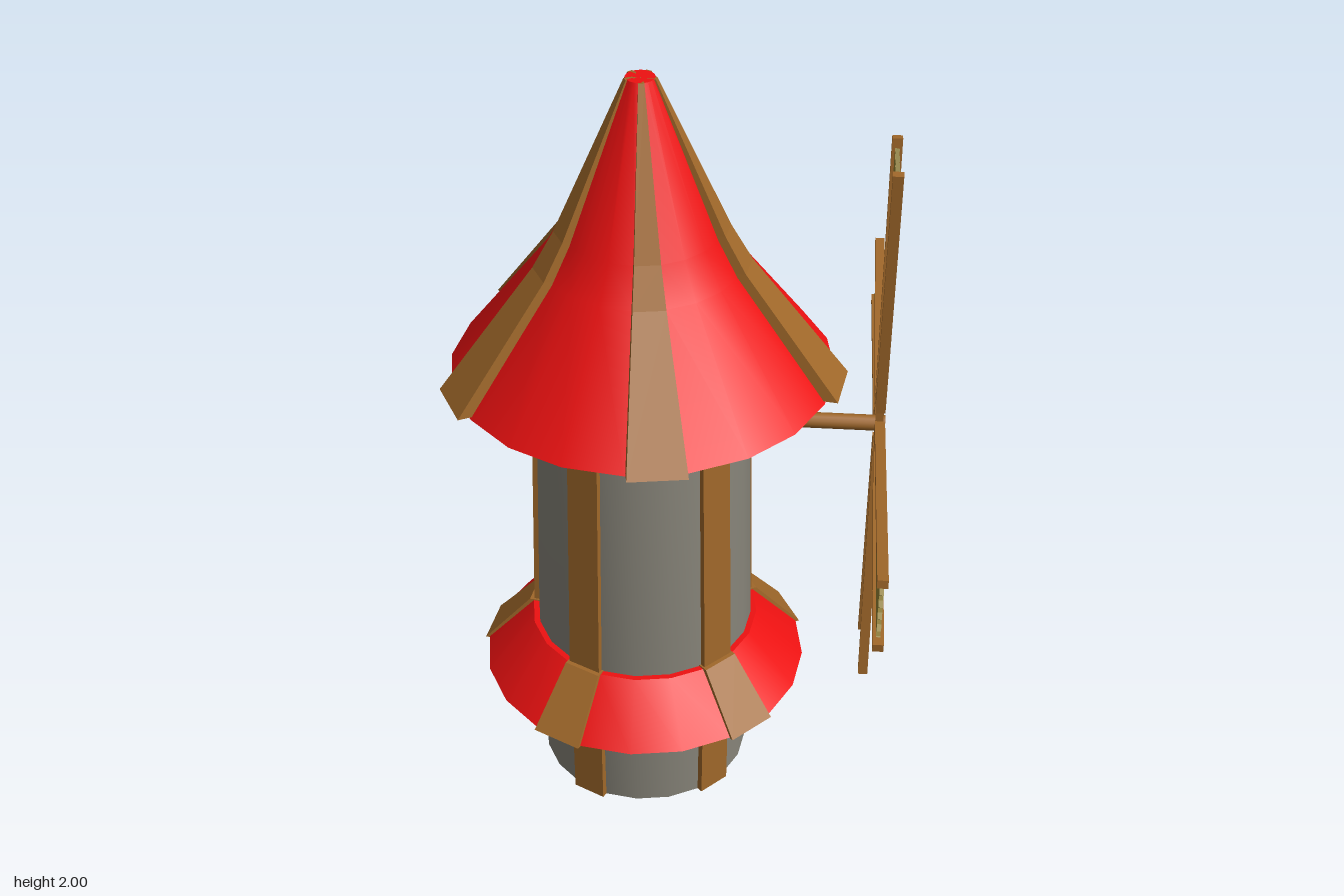
import * as THREE from 'three';
import { toCreasedNormals } from 'three/addons/utils/BufferGeometryUtils.js';

const SIDES = 20;
const red = new THREE.MeshStandardMaterial({ color: 0xee1111 });
const wood = new THREE.MeshStandardMaterial({ color: 0xa0682a });
const stone = new THREE.MeshStandardMaterial({ color: 0x88857a });
const cloth = new THREE.MeshStandardMaterial({ color: 0x938234 });

function add(parent, name, geometry, material) {
  const mesh = new THREE.Mesh(geometry, material);
  mesh.name = name;
  parent.add(mesh);
  return mesh;
}

// Solid of revolution from [radius, height] pairs, listed bottom to top
function turned(points) {
  const profile = points.map(([r, y]) => new THREE.Vector2(r, y));
  return toCreasedNormals(new THREE.LatheGeometry(profile, SIDES), 0.5);
}

// Plank that follows a profile on the +x side; sections are [radius, height, width]
function plank(sections, depth) {
  const positions = [];
  const index = [];
  for (const [r, y, w] of sections) {
    const inner = Math.max(r - depth, 0);
    positions.push(r, y, w / 2, r, y, -w / 2, inner, y, -w / 2, inner, y, w / 2);
  }
  const n = sections.length;
  for (let i = 0; i < n - 1; i++) {
    for (let j = 0; j < 4; j++) {
      const a = i * 4 + j, b = i * 4 + (j + 1) % 4;
      index.push(a, b, b + 4, a, b + 4, a + 4);
    }
  }
  const t = (n - 1) * 4;
  index.push(0, 2, 1, 0, 3, 2, t, t + 1, t + 2, t, t + 2, t + 3);
  const geometry = new THREE.BufferGeometry();
  geometry.setAttribute('position', new THREE.Float32BufferAttribute(positions, 3));
  geometry.setIndex(index);
  const flat = geometry.toNonIndexed();
  flat.computeVertexNormals();
  return flat;
}

// Five planks spread evenly around the tower axis
function planks(parent, name, sections, depth, startDegrees) {
  const geometry = plank(sections, depth);
  for (let i = 0; i < 5; i++) {
    const mesh = add(parent, name, geometry, wood);
    mesh.rotation.y = -THREE.MathUtils.degToRad(startDegrees + i * 72);
  }
}

// Sail panel with a scalloped outer edge
function sailGeometry() {
  const shape = new THREE.Shape();
  shape.moveTo(-0.032, 0.075);
  shape.lineTo(0.032, 0.075);
  shape.lineTo(0.086, 0.735);
  const scallops = 5, step = 0.172 / scallops;
  for (let i = 0; i < scallops; i++) {
    const x = 0.086 - i * step;
    shape.quadraticCurveTo(x - step / 2, 0.695, x - step, 0.735);
  }
  shape.closePath();
  const geometry = new THREE.ExtrudeGeometry(shape, { depth: 0.01, bevelEnabled: false, curveSegments: 4 });
  return geometry.translate(0, 0, -0.005);
}

// One arm of the wheel, pointing along +y
function makeBlade(sail) {
  const blade = new THREE.Group();
  blade.name = 'blade';
  add(blade, 'sail', sail, cloth);
  for (const side of [-1, 1]) {
    const bar = add(blade, 'sailBar', new THREE.BoxGeometry(0.021, 0.69, 0.025), wood);
    bar.position.set(side * 0.0615, 0.402, 0);
    bar.rotation.z = -side * 0.087;
  }
  add(blade, 'crossBar', new THREE.BoxGeometry(0.07, 0.018, 0.022), wood).position.y = 0.069;
  add(blade, 'spoke', new THREE.BoxGeometry(0.03, 0.07, 0.02), wood).position.y = 0.035;
  return blade;
}

export function createModel() {
  const model = new THREE.Group();
  model.name = 'windmill';

  const building = new THREE.Group();
  building.name = 'building';
  building.position.x = -0.065;
  model.add(building);

  // Stone tower with wooden posts
  add(building, 'tower', turned([[0, 0], [0.277, 0], [0.28, 0.31], [0.285, 0.45], [0.265, 1.24], [0, 1.24]]), stone);
  planks(building, 'post', [[0.289, 0, 0.09], [0.291, 0.31, 0.09], [0.295, 0.45, 0.09], [0.275, 1.235, 0.085]], 0.04, 45);

  // Flared skirt around the base
  add(building, 'skirt', turned([[0.2, 0.31], [0.427, 0.31], [0.3, 0.45], [0.2, 0.45]]), red);
  planks(building, 'skirtPlank', [[0.432, 0.308, 0.135], [0.306, 0.453, 0.1]], 0.03, 45);

  // Concave pointed roof
  add(building, 'roof', turned([[0, 1.23], [0.475, 1.23], [0.245, 1.53], [0.195, 1.62], [0.035, 2], [0, 2]]), red);
  planks(building, 'roofPlank',
    [[0.5, 1.235, 0.143], [0.262, 1.54, 0.078], [0.21, 1.63, 0.062], [0.038, 2, 0.014]], 0.04, 9);

  // Axle and sail wheel on the left side
  const axle = add(model, 'axle', new THREE.CylinderGeometry(0.02, 0.02, 0.38, 12), wood);
  axle.rotation.z = Math.PI / 2;
  axle.position.set(0.35, 1.08, 0);

  const wheel = new THREE.Group();
  wheel.name = 'sailWheel';
  wheel.position.set(0.525, 1.08, 0);
  wheel.rotation.y = Math.PI / 2;
  model.add(wheel);
  const sail = sailGeometry();
  for (let i = 0; i < 4; i++) {
    const blade = makeBlade(sail);
    blade.rotation.z = i * Math.PI / 2;
    wheel.add(blade);
  }
  return model;
}
